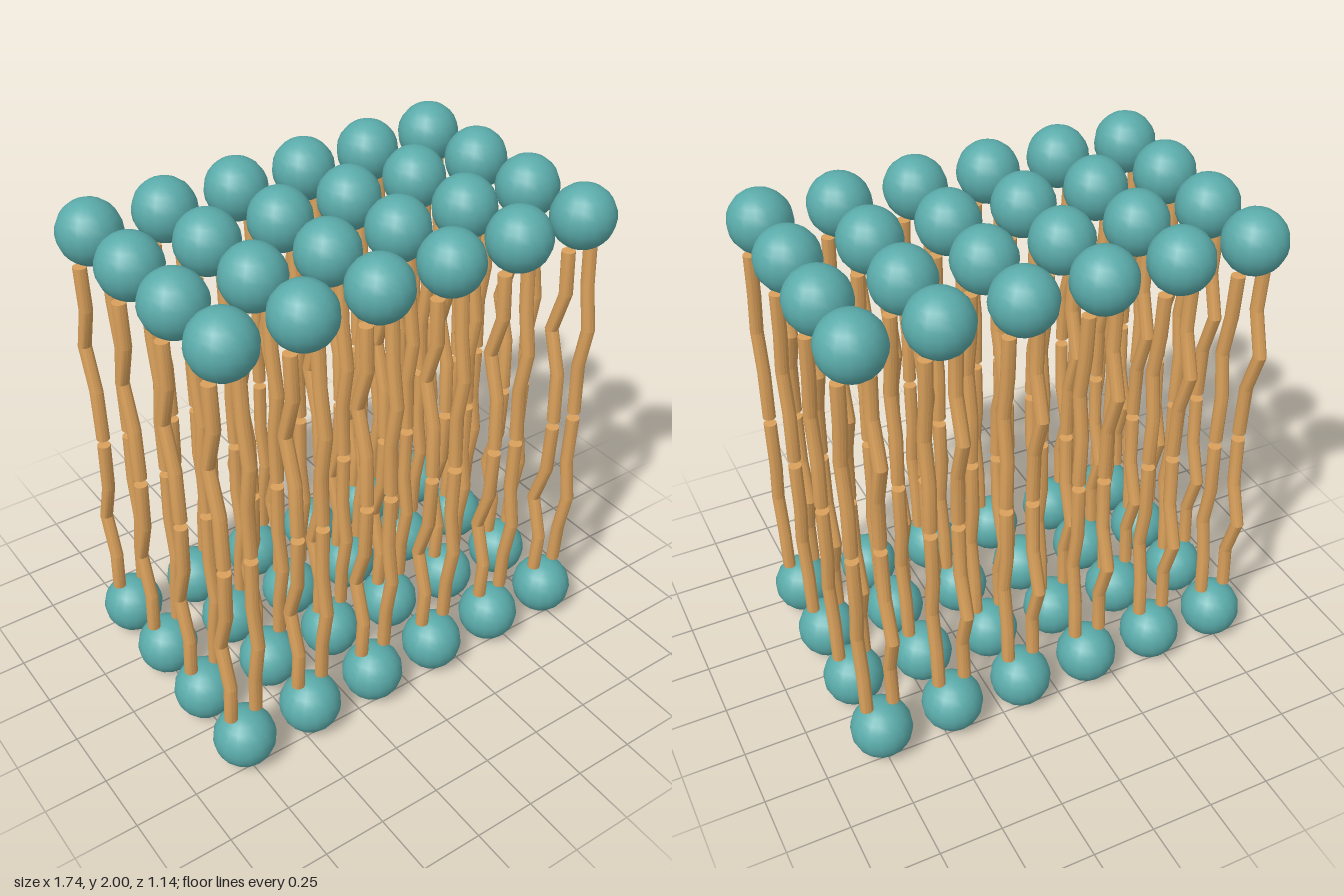
import * as THREE from 'three';
import { toCreasedNormals } from 'three/addons/utils/BufferGeometryUtils.js';

const HEAD_RADIUS = 0.122;
const TAIL_RADIUS = 0.026;
const TAIL_SPREAD = 0.054;
const SPACING = 0.3;
const COLUMNS = 6;
const ROWS = 4;

// Heights of the tail joints, measured from the middle of the bilayer (head end first)
const JOINT_HEIGHTS = [0.755, 0.58, 0.405, 0.23, 0.015];
// Sideways (z) offset at each joint, one list per tail
const BEND_FORWARD = [0, 0.01, 0.041, 0.013, 0.02];
const BEND_BACKWARD = [0, 0.01, -0.043, 0.012, 0.02];

// A cylinder whose rings are moved to the joints of a kinked tail
function makeTail(bend, side) {
  const joints = JOINT_HEIGHTS.map((h, i) => ({ y: 1 + side * h, z: bend[i] }));
  joints.sort((a, b) => b.y - a.y);
  const last = joints.length - 1;
  const geometry = new THREE.CylinderGeometry(TAIL_RADIUS, TAIL_RADIUS, 1, 16, last);
  const pos = geometry.attributes.position;
  for (let i = 0; i < pos.count; i++) {
    const joint = joints[Math.round((0.5 - pos.getY(i)) * last)];
    pos.setY(i, joint.y);
    pos.setZ(i, pos.getZ(i) + joint.z);
  }
  return toCreasedNormals(geometry, 0.45);
}

export function createModel() {
  const model = new THREE.Group();
  model.name = 'lipidBilayer';

  const headMaterial = new THREE.MeshStandardMaterial({ color: 0x5aabaa });
  const tailMaterial = new THREE.MeshStandardMaterial({ color: 0xd9a05b });
  const headGeometry = new THREE.SphereGeometry(HEAD_RADIUS, 16, 12);

  for (const side of [1, -1]) {
    const layer = new THREE.Group();
    layer.name = side > 0 ? 'upperLayer' : 'lowerLayer';
    const leftTail = makeTail(BEND_FORWARD, side);
    const rightTail = makeTail(BEND_BACKWARD, side);

    for (let c = 0; c < COLUMNS; c++) {
      for (let r = 0; r < ROWS; r++) {
        // One lipid: a round head with two kinked tails
        const lipid = new THREE.Group();
        lipid.name = 'lipid';
        lipid.position.set((c - (COLUMNS - 1) / 2) * SPACING, 0, (r - (ROWS - 1) / 2) * SPACING);

        const head = new THREE.Mesh(headGeometry, headMaterial);
        head.name = 'head';
        head.position.y = 1 + side * (1 - HEAD_RADIUS);

        const left = new THREE.Mesh(leftTail, tailMaterial);
        left.name = 'leftTail';
        left.position.x = TAIL_SPREAD;

        const right = new THREE.Mesh(rightTail, tailMaterial);
        right.name = 'rightTail';
        right.position.x = -TAIL_SPREAD;

        lipid.add(head, left, right);
        layer.add(lipid);
      }
    }
    model.add(layer);
  }
  return model;
}
